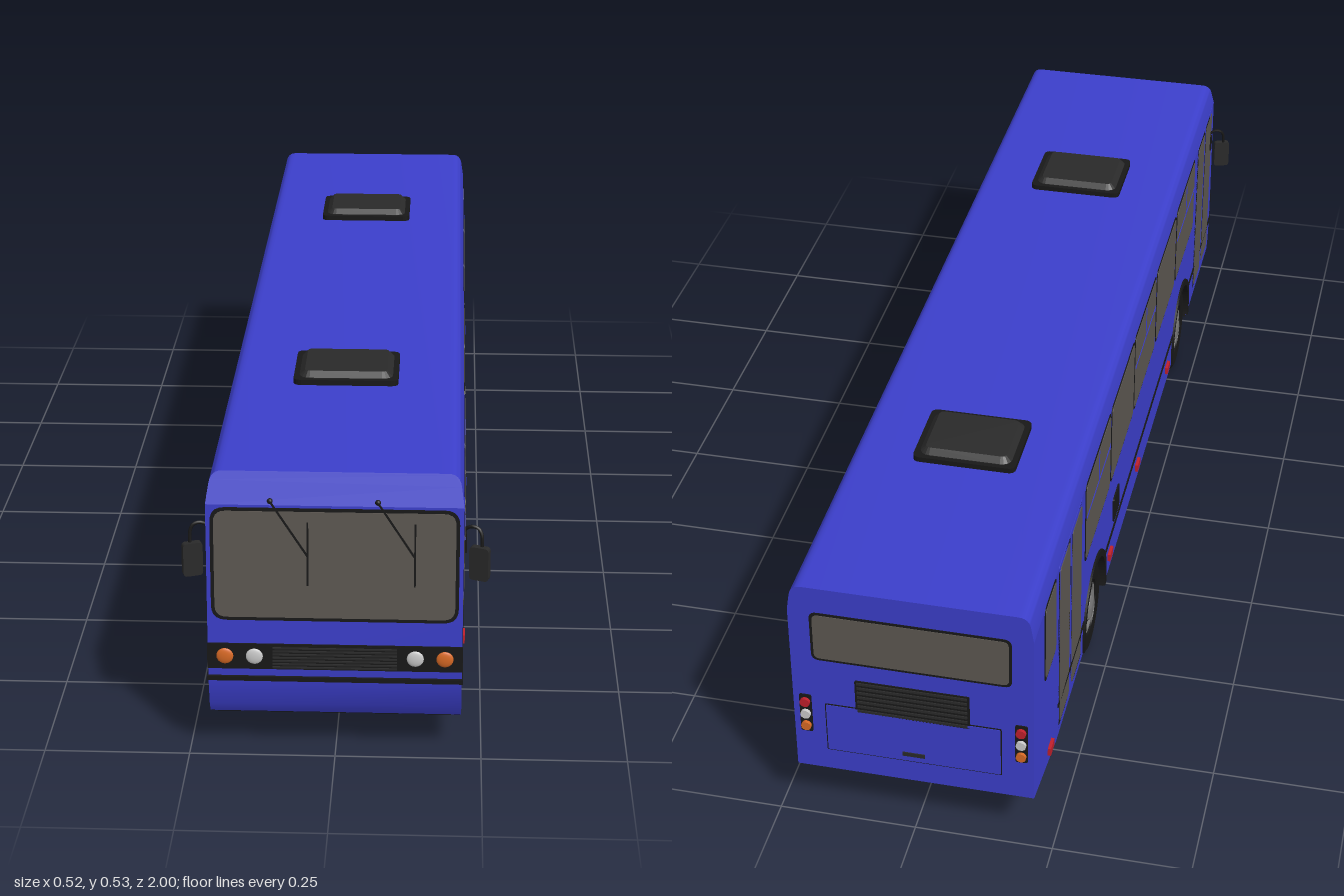
import * as THREE from 'three';
import { toCreasedNormals } from 'three/addons/utils/BufferGeometryUtils.js';

const mat = (color) => new THREE.MeshStandardMaterial({ color });
const blue = mat(0x3c3fcc), black = mat(0x181818), dark = mat(0x2a2a2a), glass = mat(0x5d5852);
const red = mat(0xc0202c), orange = mat(0xd96a25), white = mat(0xd0d0d0), steel = mat(0x777777);
const HALF = 0.215, AXLES = [0.565, -0.445], WHEEL_R = 0.095, ARCH_R = 0.107, SILL = 0.07;

function add(parent, name, geometry, material, x = 0, y = 0, z = 0) {
  const mesh = new THREE.Mesh(geometry, material);
  mesh.name = name;
  mesh.position.set(x, y, z);
  parent.add(mesh);
  return mesh;
}
const box = (parent, name, w, h, d, material, x, y, z) =>
  add(parent, name, new THREE.BoxGeometry(w, h, d), material, x, y, z);

function roundedRect(u0, u1, v0, v1, r) {
  const s = new THREE.Shape();
  s.moveTo(u0 + r, v0);
  s.lineTo(u1 - r, v0); s.quadraticCurveTo(u1, v0, u1, v0 + r);
  s.lineTo(u1, v1 - r); s.quadraticCurveTo(u1, v1, u1 - r, v1);
  s.lineTo(u0 + r, v1); s.quadraticCurveTo(u0, v1, u0, v1 - r);
  s.lineTo(u0, v0 + r); s.quadraticCurveTo(u0, v0, u0 + r, v0);
  return s;
}
const plate = (parent, name, u0, u1, v0, v1, r, depth, material) => add(parent, name,
  new THREE.ExtrudeGeometry(roundedRect(u0, u1, v0, v1, r), { depth, bevelEnabled: false, curveSegments: 5 }), material);

// Glass pane with a black rubber seal, lying on the parent's xy plane
function pane(parent, name, u0, u1, v0, v1, r = 0.014, seal = 0.005) {
  plate(parent, name + 'Seal', u0, u1, v0, v1, r, 0.001, black);
  plate(parent, name, u0 + seal, u1 - seal, v0 + seal, v1 - seal, r * 0.8, 0.002, glass);
}

// Louvred black panel
function louvre(parent, name, u0, u1, v0, v1, rows) {
  plate(parent, name, u0, u1, v0, v1, 0.003, 0.002, black);
  const step = (v1 - v0) / rows;
  for (let i = 0; i < rows; i++)
    box(parent, name + 'Slat', u1 - u0 - 0.008, step * 0.45, 0.003, dark, (u0 + u1) / 2, v0 + step * (i + 0.5), 0.0025);
}

// Side outline with wheel arches, extruded across the width
function hullGeometry(halfWidth) {
  const s = new THREE.Shape();
  s.moveTo(-0.99, 0.105);
  s.lineTo(-0.8, SILL);
  const dy = 0.1 - SILL, a = Math.asin(dy / ARCH_R), dx = ARCH_R * Math.cos(a);
  for (const z of [...AXLES].reverse()) {
    s.lineTo(z - dx, SILL);
    s.absarc(z, 0.1, ARCH_R, Math.PI + a, -a, true);
  }
  for (const [z, y] of [[0.972, SILL], [0.983, 0.09], [0.993, 0.14], [0.993, 0.21], [0.982, 0.46], [-0.99, 0.46]]) s.lineTo(z, y);
  const g = new THREE.ExtrudeGeometry(s, { depth: halfWidth * 2, bevelEnabled: false, curveSegments: 20 });
  g.rotateY(-Math.PI / 2).translate(halfWidth, 0, 0);
  return toCreasedNormals(g, 0.5);
}

function roofGeometry() {
  const s = new THREE.Shape();
  s.moveTo(-HALF, 0.46);
  s.lineTo(HALF, 0.46);
  s.lineTo(0.21, 0.492);
  s.quadraticCurveTo(0.207, 0.512, 0.188, 0.512);
  s.lineTo(-0.188, 0.512);
  s.quadraticCurveTo(-0.207, 0.512, -0.21, 0.492);
  const g = new THREE.ExtrudeGeometry(s, { depth: 1, bevelEnabled: false, curveSegments: 6 });
  const p = g.attributes.position;
  for (let i = 0; i < p.count; i++) // lean the front end back
    p.setZ(i, p.getZ(i) > 0.5 ? 0.982 - (p.getY(i) - 0.46) * 0.42 : -0.99);
  return toCreasedNormals(g, 0.6);
}

function lathe(points) {
  const g = new THREE.LatheGeometry(points.map(([r, h]) => new THREE.Vector2(r, h)), 36);
  return toCreasedNormals(g.rotateZ(-Math.PI / 2), 0.6);
}

function wheel(bus, side, z, rear) {
  const g = new THREE.Group();
  g.name = rear ? 'rearWheel' : 'frontWheel';
  g.position.set(side * 0.21, WHEEL_R, z);
  g.rotation.y = side > 0 ? 0 : Math.PI;
  const w = rear ? 0.052 : 0.075, R = WHEEL_R;
  const tyre = lathe([[0.03, -w], [R - 0.012, -w], [R - 0.003, -w + 0.006], [R, -w + 0.016], [R, -0.016],
    [R - 0.003, -0.006], [R - 0.012, 0], [0.056, -0.002], [0.052, -0.014], [0.0, -0.014]]);
  add(g, 'tyre', tyre, black);
  if (rear) add(g, 'innerTyre', tyre, black, -0.059);
  add(g, 'rim', lathe([[0.052, -0.014], [0.05, -0.004], [0.044, -0.004], [0.038, -0.012], [0.026, -0.01],
    [0.024, -0.001], [0.018, 0.002], [0, 0.002]]), steel);
  for (let i = 0; i < 8; i++) {
    const a = i * Math.PI / 4;
    box(g, 'wheelNut', 0.005, 0.005, 0.005, dark, -0.009, Math.cos(a) * 0.032, Math.sin(a) * 0.032);
  }
  bus.add(g);
}

// Everything on one flank; u(z) maps model z to the flank's own axis
function flank(bus, s) {
  const f = new THREE.Group();
  f.name = s > 0 ? 'leftSide' : 'rightSide';
  f.position.x = s * HALF;
  f.rotation.y = s * Math.PI / 2;
  bus.add(f);
  const span = (z0, z1) => [-s * z0, -s * z1].sort((a, b) => a - b);
  const windows = [[0.705, 0.46], [0.45, 0.21], [0.2, -0.045], [-0.05, -0.295], [-0.303, -0.548], [-0.555, -0.8]]
    .map(([a, b], i) => [a, b, i === 0 || i === 2 || i === 5]);
  if (s > 0) windows.push([0.95, 0.74, true]);
  else windows.pop();
  for (const [a, b, vent] of windows) {
    const [u0, u1] = span(a, b), m = (u0 + u1) / 2;
    pane(f, 'sideWindow', u0, u1, 0.285, 0.462);
    if (vent || (s < 0 && a === -0.303)) { // sliding vent bars
      box(f, 'ventRail', u1 - u0 - 0.01, 0.004, 0.003, blue, m, 0.388, 0.0015);
      box(f, 'ventDivider', 0.004, 0.07, 0.003, blue, m, 0.422, 0.0015);
    }
  }
  pane(f, 'rearQuarterWindow', ...span(-0.81, -0.905), 0.298, 0.462);
  for (const [a, b] of [[0.98, 0.67], [0.46, -0.34], [-0.55, -0.79]]) {
    const [u0, u1] = span(a, b);
    box(f, 'rubStrip', u1 - u0, 0.008, 0.004, black, (u0 + u1) / 2, 0.145, 0);
  }
  for (const z of s > 0 ? [0.755, 0.015, -0.29] : [0.385, 0.015, -0.29, -0.86])
    box(f, 'sideMarkerLamp', 0.03, 0.016, 0.012, red, -s * z, 0.11, 0);
  for (const z of AXLES) {
    const ring = new THREE.Shape();
    ring.absarc(0, 0, 0.112, -0.25, Math.PI + 0.25, false);
    ring.absarc(0, 0, 0.098, Math.PI + 0.25, -0.25, true);
    add(f, 'wheelArchTrim', new THREE.ExtrudeGeometry(ring, { depth: 0.022, bevelEnabled: false, curveSegments: 24 }),
      black, -s * z, 0.1, -0.018);
  }
  if (s > 0) louvre(f, 'engineVent', ...span(-0.79, -0.925), 0.11, 0.215, 8);
  else {
    plate(f, 'fuelFlap', ...span(-0.2, -0.26), 0.165, 0.22, 0.006, 0.003, black);
    for (const [a, b] of [[0.955, 0.75], [-0.58, -0.785]]) {
      const m = (a + b) / 2;
      plate(f, 'doorFrame', ...span(a, b), 0.085, 0.462, 0.006, 0.001, blue);
      pane(f, 'doorLeaf', ...span(a, m + 0.006), 0.09, 0.458, 0.01, 0.007);
      pane(f, 'doorLeaf', ...span(m - 0.006, b), 0.09, 0.458, 0.01, 0.007);
    }
  }
  // Mirror on a bent arm
  const arm = new THREE.CatmullRomCurve3([[0.21, 0.37], [0.217, 0.402], [0.228, 0.409], [0.24, 0.406], [0.245, 0.395], [0.245, 0.365]]
    .map(([x, y], i) => new THREE.Vector3(s * x, y, 0.935 + i * 0.003)));
  add(bus, 'mirrorArm', new THREE.TubeGeometry(arm, 20, 0.003, 6), black);
  box(bus, 'mirrorBracket', 0.006, 0.035, 0.012, black, s * 0.217, 0.378, 0.936);
  const mirror = plate(bus, 'mirror', -0.017, 0.017, -0.03, 0.03, 0.007, 0.012, dark);
  mirror.position.set(s * 0.244, 0.346, 0.945);
  mirror.rotation.y = -s * 0.35;
}

function frontEnd(bus) {
  const f = new THREE.Group();
  f.name = 'frontEnd';
  f.position.z = 0.993;
  bus.add(f);
  const screen = new THREE.Group();
  screen.name = 'windscreenAssembly';
  screen.position.set(0, 0.21, 0.0005);
  screen.rotation.x = -0.044;
  f.add(screen);
  pane(screen, 'windscreen', -0.208, 0.208, 0.043, 0.246, 0.026, 0.006);
  for (const x of [-0.107, 0.072]) { // wipers
    add(screen, 'wiperPivot', new THREE.SphereGeometry(0.005, 10, 8), black, x, 0.259, 0.003);
    const arm = box(screen, 'wiperArm', 0.003, 0.115, 0.003, black, x + 0.031, 0.211, 0.006);
    arm.rotation.z = Math.atan2(0.062, 0.097);
    box(screen, 'wiperBlade', 0.003, 0.112, 0.004, black, x + 0.062, 0.166, 0.005);
  }
  plate(f, 'lampPanel', -0.216, 0.216, 0.163, 0.21, 0.003, 0.003, black);
  louvre(f, 'grille', -0.109, 0.109, 0.165, 0.207, 7);
  f.getObjectByName('grille').position.z = 0.002;
  f.children.filter((c) => c.name === 'grilleSlat').forEach((c) => { c.position.z = 0.005; });
  box(f, 'frontRubStrip', 0.434, 0.008, 0.022, black, 0, 0.145, -0.006);
  for (const s of [-1, 1]) for (const [x, m] of [[0.186, orange], [0.136, white]]) {
    const lens = new THREE.SphereGeometry(0.0145, 20, 8, 0, Math.PI * 2, 0, Math.PI / 2);
    lens.rotateX(Math.PI / 2).scale(1, 1, 0.3);
    add(f, m === white ? 'headlamp' : 'indicator', lens, m, s * x, 0.187, 0.003);
  }
}

function rearEnd(bus) {
  const r = new THREE.Group();
  r.name = 'rearEnd';
  r.position.z = -0.99;
  r.rotation.y = Math.PI;
  bus.add(r);
  pane(r, 'rearWindow', -0.177, 0.177, 0.355, 0.46);
  plate(r, 'engineHatchSeam', -0.158, 0.158, 0.15, 0.257, 0.003, 0.001, black);
  plate(r, 'engineHatch', -0.156, 0.156, 0.152, 0.255, 0.003, 0.002, blue);
  louvre(r, 'rearVent', -0.102, 0.102, 0.248, 0.32, 7);
  box(r, 'hatchHandle', 0.04, 0.008, 0.004, dark, 0, 0.168, 0.002);
  for (const s of [-1, 1]) {
    plate(r, 'tailLampBase', s * 0.193 - 0.011, s * 0.193 + 0.011, 0.188, 0.272, 0.004, 0.002, black);
    [red, white, orange].forEach((m, i) => {
      const lamp = add(r, 'tailLamp', new THREE.CylinderGeometry(0.009, 0.009, 0.008, 16), m, s * 0.193, 0.257 - i * 0.027, 0.004);
      lamp.rotation.x = Math.PI / 2;
    });
  }
}

export function createModel() {
  const bus = new THREE.Group();
  bus.name = 'bus';
  add(bus, 'body', hullGeometry(HALF), blue);
  add(bus, 'roof', roofGeometry(), blue);
  // Black underside and wheel-arch lining, just inside the body
  add(bus, 'underbody', hullGeometry(HALF - 0.002), black, 0, -0.003, 0).scale.z = 0.996;
  for (const z of AXLES) {
    box(bus, 'archFiller', 0.18, 0.14, 0.23, black, 0, 0.137, z);
    box(bus, 'axle', 0.36, 0.03, 0.03, black, 0, WHEEL_R, z);
    for (const s of [-1, 1]) wheel(bus, s, z, z < 0);
  }
  for (const s of [-1, 1]) flank(bus, s);
  frontEnd(bus);
  rearEnd(bus);
  // Roof hatches
  for (const z of [0.485, -0.525]) {
    const base = plate(bus, 'roofHatchBase', -0.095, 0.095, -0.077, 0.077, 0.014, 0.012, black);
    base.rotation.x = -Math.PI / 2;
    base.position.set(0, 0.51, z);
    const lid = new THREE.ExtrudeGeometry(roundedRect(-0.075, 0.075, -0.058, 0.058, 0.01),
      { depth: 0.002, bevelThickness: 0.01, bevelSize: 0.01, bevelSegments: 1, curveSegments: 4 });
    add(bus, 'roofHatchLid', lid, dark, 0, 0.521, z).rotation.x = -Math.PI / 2;
  }
  return bus;
}
